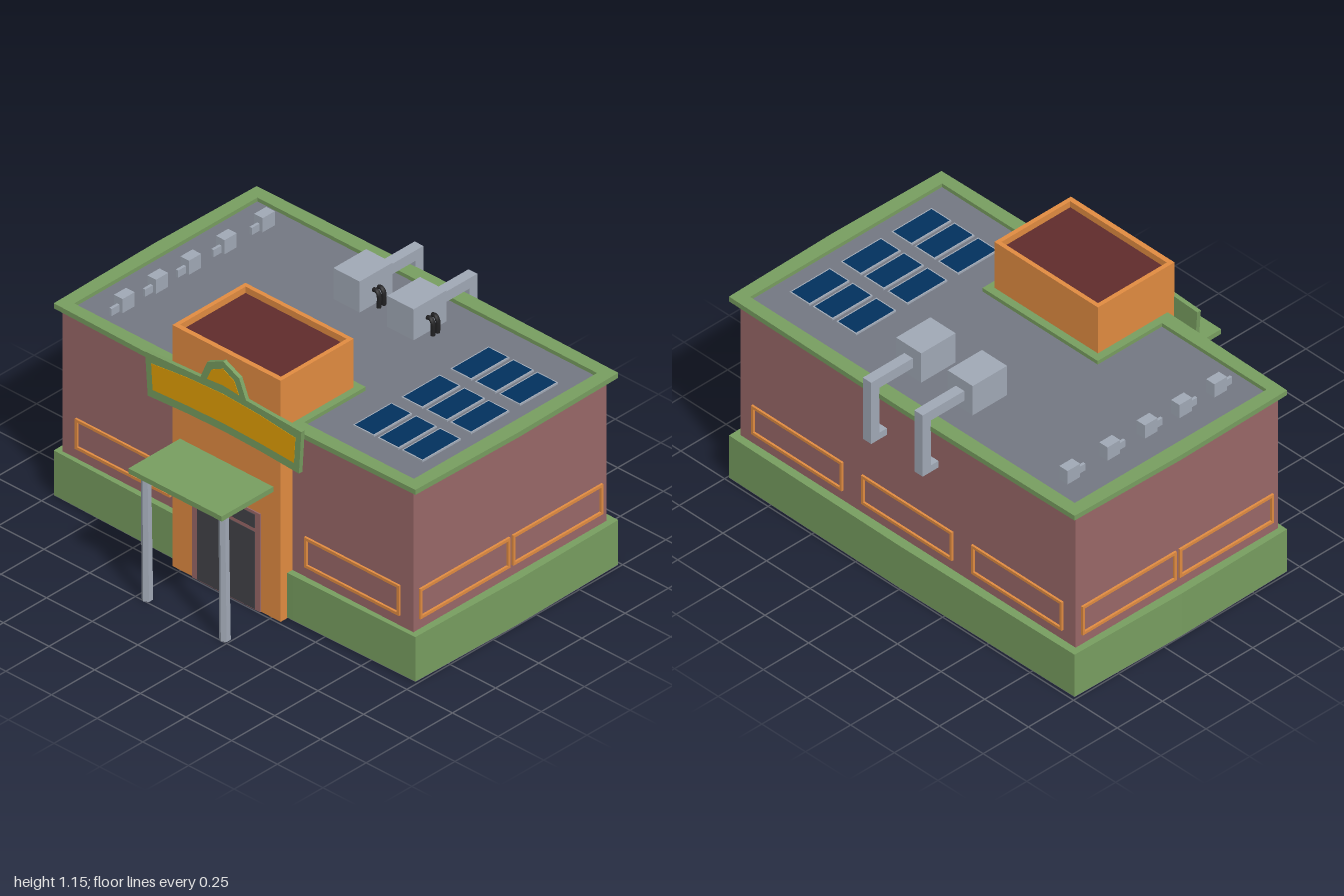
import * as THREE from 'three';

const paint = (name, color) => {
  const m = new THREE.MeshStandardMaterial({ color });
  m.name = name;
  return m;
};

export function createModel() {
  const root = new THREE.Group();
  const green = paint('green trim', 0x789e60);
  const brick = paint('brick', 0x9a6868);
  const orange = paint('orange plaster', 0xe28c41);
  const yellow = paint('sign yellow', 0xe29f04);
  const dark = paint('door charcoal', 0x434348);
  const black = paint('pipe black', 0x222224);
  const roofGrey = paint('roof grey', 0x747882);
  const maroon = paint('tower roof', 0x602c2c);
  const metal = paint('metal', 0xa1a9b6);
  const navy = paint('solar blue', 0x02315e);

  const add = (name, geo, mat, parent = root) => {
    const m = new THREE.Mesh(geo, mat);
    m.name = name;
    parent.add(m);
    return m;
  };
  // Box given by its bounds
  const box = (name, mat, x0, x1, y0, y1, z0, z1, parent) =>
    add(name, new THREE.BoxGeometry(x1 - x0, y1 - y0, z1 - z0), mat, parent)
      .position.set((x0 + x1) / 2, (y0 + y1) / 2, (z0 + z1) / 2);
  const outline = (pts) => pts.map(([a, b]) => new THREE.Vector2(a, b));
  const extrude = (pts, depth, hole) => {
    const s = new THREE.Shape(outline(pts));
    if (hole) s.holes.push(new THREE.Path(outline(hole)));
    return new THREE.ExtrudeGeometry(s, { depth, bevelEnabled: false });
  };
  const rect = (x0, x1, y0, y1) => [[x0, y0], [x1, y0], [x1, y1], [x0, y1]];
  // Horizontal slab from an x,z outline
  const slab = (name, mat, pts, y0, y1, hole) =>
    add(name, extrude(pts, y1 - y0, hole).rotateX(Math.PI / 2), mat).position.y = y1;

  // Main building, with a slightly bowed footprint
  const foot = [[-0.99, -0.735], [0, -0.745], [0.99, -0.735], [1, -0.15],
    [0.99, 0.44], [0.33, 0.45], [-0.33, 0.45], [-0.99, 0.44], [-1, -0.15]];
  slab('floorUnderside', roofGrey, foot, 0.002, 0.004);
  slab('plinth', green, foot, 0.004, 0.215);
  box('walls', brick, -0.96, 0.96, 0.215, 0.89, -0.70, 0.42);
  box('roof', roofGrey, -0.94, 0.94, 0.885, 0.896, -0.69, 0.40);
  slab('cornice', green, foot, 0.89, 0.914, [[-0.93, -0.676], [0.93, -0.676], [0.93, 0.385],
    [0.33, 0.385], [0.33, 0.03], [-0.33, 0.03], [-0.33, 0.385], [-0.93, 0.385]]);

  // Raised trim frames on every wall
  const frame = (x, z, turn) => {
    const g = extrude(rect(-0.26, 0.26, 0.265, 0.408), 0.015,
      rect(-0.248, 0.248, 0.278, 0.395));
    const m = add('wallFrame', g, orange);
    m.rotation.y = turn;
    m.position.set(x, 0, z);
  };
  for (const x of [-0.625, 0.63]) frame(x, 0.415, 0);
  for (const x of [-0.63, 0, 0.63]) frame(x, -0.695, Math.PI);
  for (const s of [-1, 1]) for (const z of [0.128, -0.41]) frame(s * 0.955, z, s * Math.PI / 2);

  // Entrance tower with a sunken roof
  box('tower', orange, -0.295, 0.298, 0, 1.11, 0.065, 0.488);
  slab('towerParapet', orange, rect(-0.295, 0.298, 0.065, 0.488), 1.11, 1.145,
    rect(-0.275, 0.278, 0.085, 0.465));
  box('towerRoof', maroon, -0.28, 0.283, 1.108, 1.115, 0.08, 0.47);

  // Double door with transom lights
  const door = new THREE.Group();
  door.name = 'door';
  root.add(door);
  box('doorFrame', brick, -0.182, 0.19, 0, 0.465, 0.48, 0.494, door);
  for (const x of [-0.077, 0.087]) {
    box('doorGlass', dark, x - 0.075, x + 0.075, 0.004, 0.37, 0.49, 0.496, door);
    box('transomGlass', dark, x - 0.075, x + 0.075, 0.388, 0.452, 0.49, 0.496, door);
  }

  // Canopy on two hexagonal posts
  box('canopy', green, -0.253, 0.258, 0.6, 0.624, 0.48, 0.787);
  for (const x of [-0.203, 0.222]) {
    const g = new THREE.CylinderGeometry(0.021, 0.024, 0.602, 6).toNonIndexed();
    g.computeVertexNormals();
    const post = add('canopyPost', g, metal);
    post.position.set(x, 0.301, 0.734);
    post.rotation.x = 0.012;
  }

  // Arched sign board with a crest
  const sign = new THREE.Group();
  sign.name = 'sign';
  sign.position.z = 0.486;
  root.add(sign);
  add('signBoard', extrude([[-0.413, 0.765], [-0.2, 0.777], [0, 0.782], [0.2, 0.777], [0.415, 0.765],
    [0.428, 0.968], [0.125, 0.983], [0.088, 1.07], [0, 1.112], [-0.088, 1.07],
    [-0.125, 0.983], [-0.428, 0.968]], 0.02), green, sign);
  const panels = {
    signPanel: [[-0.385, 0.805], [-0.2, 0.815], [0, 0.82], [0.2, 0.815], [0.388, 0.805],
      [0.396, 0.927], [0.2, 0.948], [0, 0.958], [-0.2, 0.948], [-0.393, 0.927]],
    crestPanel: [[-0.088, 0.991], [0, 0.999], [0.088, 0.991], [0.062, 1.047], [0, 1.078], [-0.062, 1.047]],
  };
  for (const [name, pts] of Object.entries(panels))
    add(name, extrude(pts, 0.003), yellow, sign).position.z = 0.0185;

  // Roof air units with ducts running down the back wall
  for (const x of [-0.15, 0.145]) {
    const unit = new THREE.Group();
    unit.name = 'airUnit';
    unit.position.x = x;
    root.add(unit);
    box('unitBody', metal, -0.072, 0.072, 0.89, 1.043, -0.557, -0.367, unit);
    box('ductTop', metal, -0.024, 0.024, 0.943, 0.992, -0.787, -0.555, unit);
    box('ductDrop', metal, -0.024, 0.024, 0.684, 0.943, -0.787, -0.742, unit);
    box('ductFoot', metal, -0.024, 0.024, 0.684, 0.717, -0.742, -0.698, unit);
    for (const z of [-0.447, -0.475]) {
      const path = new THREE.CatmullRomCurve3([[0.07, 0.968], [0.09, 0.97], [0.102, 0.955], [0.102, 0.893]]
        .map(([a, b]) => new THREE.Vector3(a, b, z)));
      add('unitPipe', new THREE.TubeGeometry(path, 12, 0.01, 8), black, unit);
    }
  }

  // Row of small roof vents
  for (const z of [-0.562, -0.341, -0.135, 0.056, 0.25]) {
    box('ventBox', metal, -0.807, -0.76, 0.89, 0.963, z - 0.035, z + 0.035);
    box('ventSpout', metal, -0.79, -0.777, 0.89, 0.93, z + 0.035, z + 0.08);
  }

  // Solar panels, three by three
  for (const x of [0.53, 0.665, 0.797])
    for (const z of [-0.42, -0.137, 0.143]) {
      box('panelFrame', metal, x - 0.057, x + 0.057, 0.892, 0.904, z - 0.111, z + 0.111);
      box('solarCells', navy, x - 0.051, x + 0.051, 0.9, 0.905, z - 0.105, z + 0.105);
    }

  return root;
}
